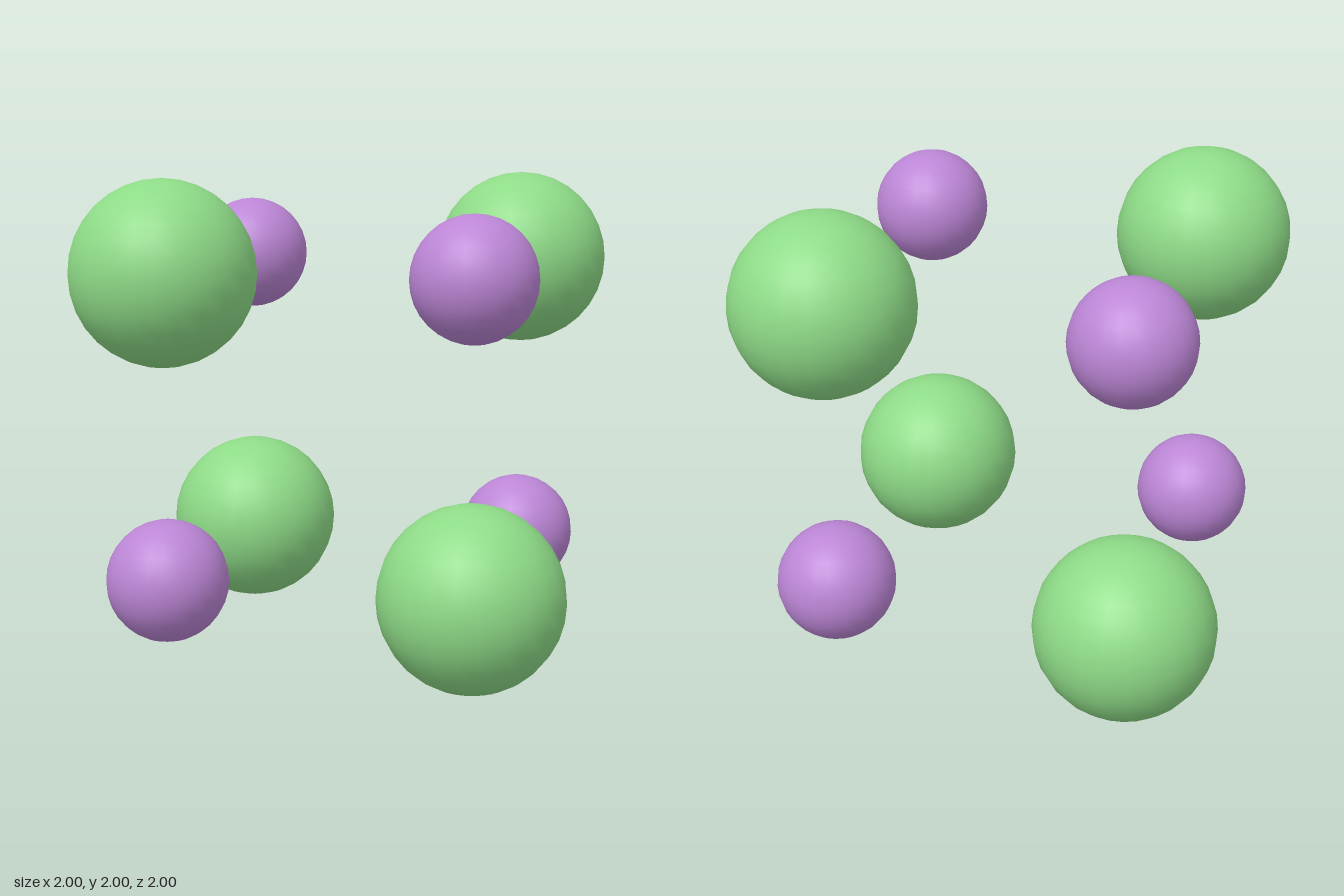
import * as THREE from 'three';

export function createModel() {
  const group = new THREE.Group();
  const green = new THREE.MeshStandardMaterial({ color: 0x8edb87 });
  green.name = 'green';
  const purple = new THREE.MeshStandardMaterial({ color: 0xbc86d6 });
  purple.name = 'purple';

  const largeSphere = new THREE.SphereGeometry(0.375, 24, 16);
  const smallSphere = new THREE.SphereGeometry(0.25, 24, 16);
  const offset = 0.625;

  // Large and small spheres alternate over the eight corners of a cube
  for (const x of [-1, 1]) {
    for (const y of [-1, 1]) {
      for (const z of [-1, 1]) {
        const small = x * y * z > 0;
        const sphere = new THREE.Mesh(small ? smallSphere : largeSphere, small ? purple : green);
        sphere.name = small ? 'smallSphere' : 'largeSphere';
        sphere.position.set(x * offset, 1 + y * offset, z * offset);
        group.add(sphere);
      }
    }
  }
  return group;
}
